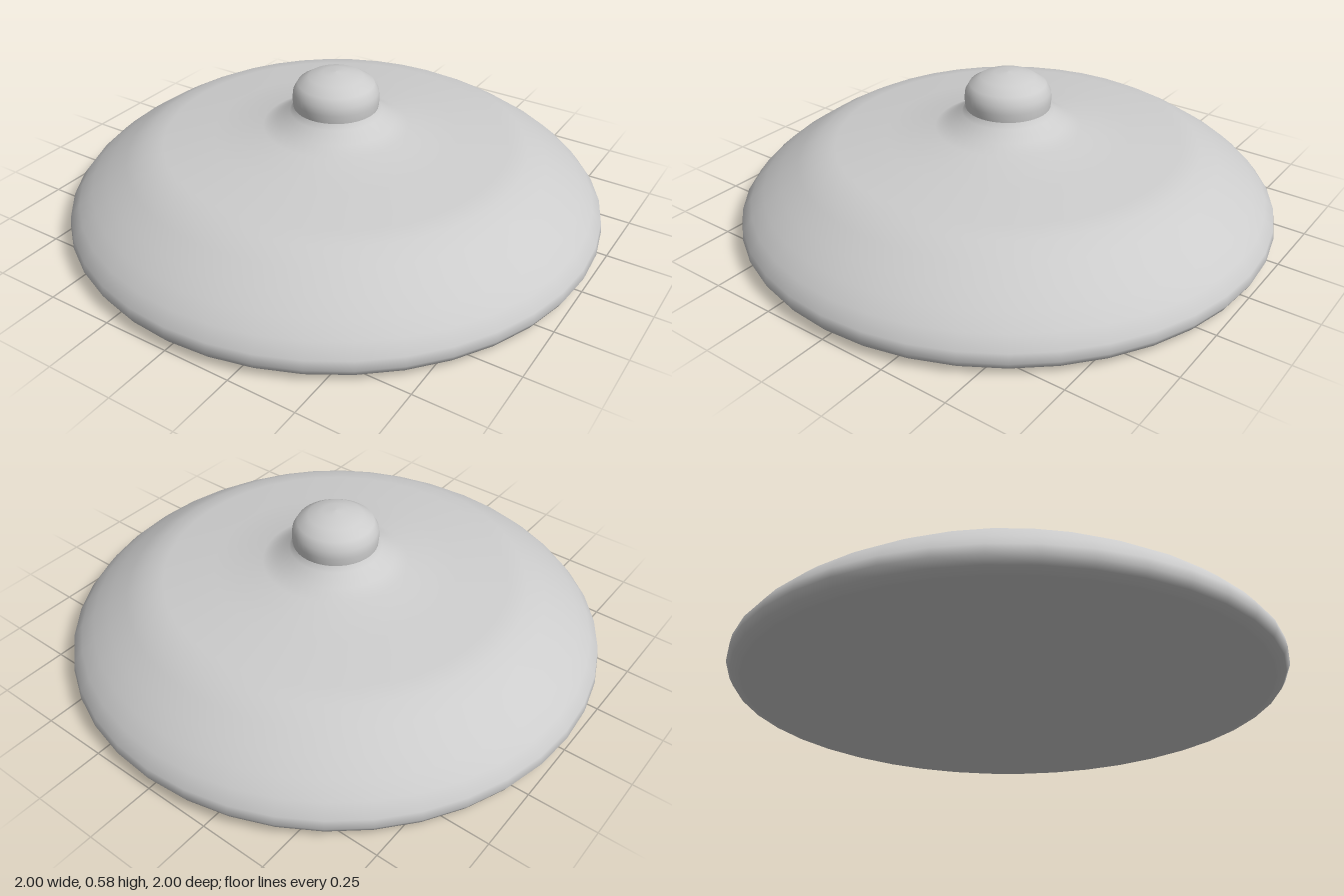
import * as THREE from 'three';

const SEGMENTS = 40;

// Smooth turned part from [radius, height] pairs, listed from bottom to top
function turned(name, points, material) {
  const profile = points.map(([r, y]) => new THREE.Vector2(r, y));
  const mesh = new THREE.Mesh(new THREE.LatheGeometry(profile, SEGMENTS), material);
  mesh.name = name;
  return mesh;
}

export function createModel() {
  const group = new THREE.Group();
  group.name = 'domedLid';
  const grey = new THREE.MeshStandardMaterial({ color: 0xcccccc });
  grey.name = 'light grey';

  // Nearly flat base
  group.add(turned('underside', [[0, 0], [0.5, 0.003], [0.9, 0.01], [0.95, 0.015]], grey));

  // Rounded rim, sloping shoulder and shallow top, flaring up into the neck
  group.add(turned('dome', [
    [0.95, 0.015], [0.985, 0.028], [1, 0.055], [0.995, 0.09], [0.96, 0.135],
    [0.91, 0.18], [0.85, 0.222], [0.78, 0.267], [0.71, 0.305], [0.64, 0.319],
    [0.45, 0.342], [0.27, 0.367], [0.22, 0.392], [0.17, 0.425], [0.157, 0.445],
  ], grey));

  // Round knob
  group.add(turned('knob', [
    [0.157, 0.445], [0.16, 0.475], [0.157, 0.505], [0.14, 0.535],
    [0.1, 0.56], [0.05, 0.574], [0, 0.578],
  ], grey));

  return group;
}
